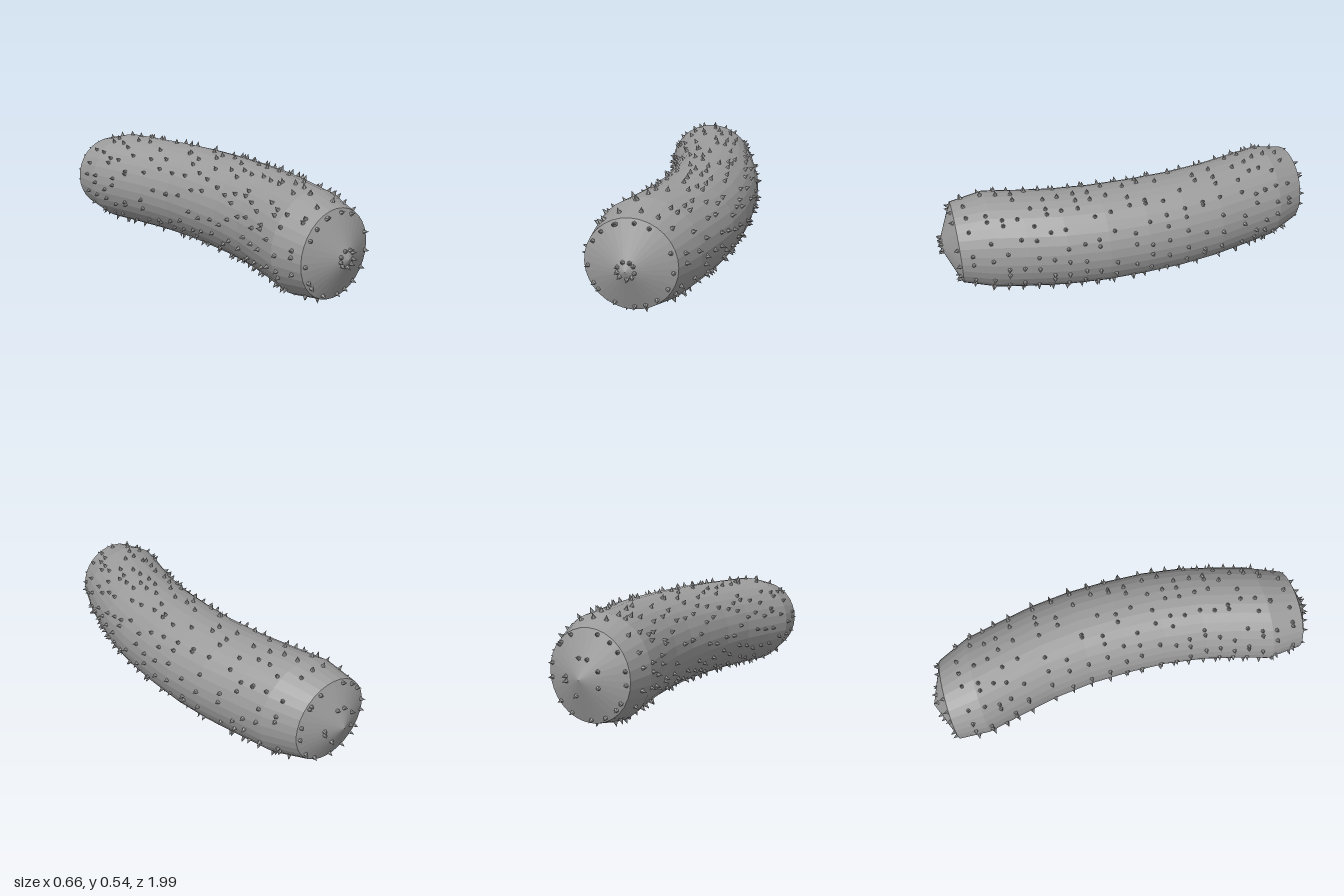
import * as THREE from 'three';
import { mergeGeometries } from 'three/addons/utils/BufferGeometryUtils.js';

const SIDES = 32;
const CENTER_Y = 0.27;

// Cross-sections along the curved body: [z, centre x, radius]
const STATIONS = [
  [-1.0, -0.1, 0], [-0.915, -0.095, 0.205], [-0.76, -0.06, 0.245], [-0.6, -0.022, 0.245],
  [-0.4, 0.022, 0.245], [-0.2, 0.047, 0.245], [0, 0.052, 0.245], [0.2, 0.045, 0.245],
  [0.4, 0.018, 0.245], [0.58, -0.027, 0.245], [0.73, -0.07, 0.245],
  [0.895, -0.095, 0.205], [0.982, -0.097, 0],
];

// Point on the skin at height z along the body and angle a around it
function skinPoint(z, a) {
  let i = 0;
  while (i < STATIONS.length - 2 && z > STATIONS[i + 1][0]) i++;
  const [p, q] = [STATIONS[i], STATIONS[i + 1]];
  const t = (z - p[0]) / (q[0] - p[0]);
  const x = p[1] + (q[1] - p[1]) * t;
  const r = p[2] + (q[2] - p[2]) * t;
  return new THREE.Vector3(x + r * Math.cos(a), CENTER_Y + r * Math.sin(a), z);
}

function skinGeometry(stations) {
  const positions = [];
  const index = [];
  for (const [z, x, r] of stations) {
    for (let j = 0; j < SIDES; j++) {
      const a = (j / SIDES) * Math.PI * 2;
      positions.push(x + r * Math.cos(a), CENTER_Y + r * Math.sin(a), z);
    }
  }
  for (let i = 0; i < stations.length - 1; i++) {
    for (let j = 0; j < SIDES; j++) {
      const a = i * SIDES + j;
      const b = i * SIDES + ((j + 1) % SIDES);
      const c = a + SIDES;
      const d = b + SIDES;
      if (stations[i][2] > 0) index.push(a, b, c);
      if (stations[i + 1][2] > 0) index.push(b, d, c);
    }
  }
  const indexed = new THREE.BufferGeometry();
  indexed.setAttribute('position', new THREE.Float32BufferAttribute(positions, 3));
  indexed.setIndex(index);
  const flat = indexed.toNonIndexed();
  flat.computeVertexNormals();
  return flat;
}

// Small seeded generator for the irregular spike spacing
let seed = 7;
function random() {
  seed = (seed * 16807) % 2147483647;
  return seed / 2147483647;
}

const UP = new THREE.Vector3(0, 1, 0);

// A spike standing square to the skin
function spikeAt(z, a) {
  const e = 0.002;
  const p = skinPoint(z, a);
  const around = skinPoint(z, a + e).sub(skinPoint(z, a - e));
  const along = skinPoint(z + e, a).sub(skinPoint(z - e, a));
  const normal = around.cross(along).normalize();
  const spike = new THREE.ConeGeometry(0.011, 0.026, 6, 1).toNonIndexed();
  spike.computeVertexNormals();
  spike.translate(0, 0.011, 0);
  spike.applyQuaternion(new THREE.Quaternion().setFromUnitVectors(UP, normal));
  return spike.translate(p.x, p.y, p.z);
}

function spikeRing(z, count, jitter) {
  const spikes = [];
  const start = random() * Math.PI * 2;
  for (let i = 0; i < count; i++) {
    const a = start + ((i + (random() - 0.5) * jitter) / count) * Math.PI * 2;
    spikes.push(spikeAt(z, a));
  }
  return spikes;
}

export function createModel() {
  const model = new THREE.Group();
  model.name = 'spikyCurvedBody';
  const skin = new THREE.MeshStandardMaterial({ color: 0x9c9c9c });
  skin.name = 'grey skin';
  skin.flatShading = true;

  const add = (name, geometry) => {
    const mesh = new THREE.Mesh(geometry, skin);
    mesh.name = name;
    model.add(mesh);
  };

  // Curved body and its two pointed ends
  const n = STATIONS.length;
  add('body', skinGeometry(STATIONS.slice(1, n - 1)));
  add('backEnd', skinGeometry(STATIONS.slice(0, 2)));
  add('frontEnd', skinGeometry(STATIONS.slice(n - 2)));

  // Rows of spikes along the body
  const rows = [-0.82, -0.74, -0.67, -0.61, -0.53, -0.4, -0.3, -0.2, -0.1, -0.01, 0.07,
    0.17, 0.25, 0.32, 0.4, 0.47, 0.54, 0.61, 0.68, 0.75, 0.84];
  add('bodySpikes', mergeGeometries(rows.flatMap((z) => spikeRing(z, 17, 1.1))));

  // Spikes on the ends: one ring near the rim, one round the tip
  add('frontSpikes', mergeGeometries([...spikeRing(0.903, 16, 1.3), ...spikeRing(0.966, 9, 0.7)]));
  add('backSpikes', mergeGeometries([...spikeRing(-0.922, 16, 1.3), ...spikeRing(-0.965, 7, 0.9)]));

  return model;
}
